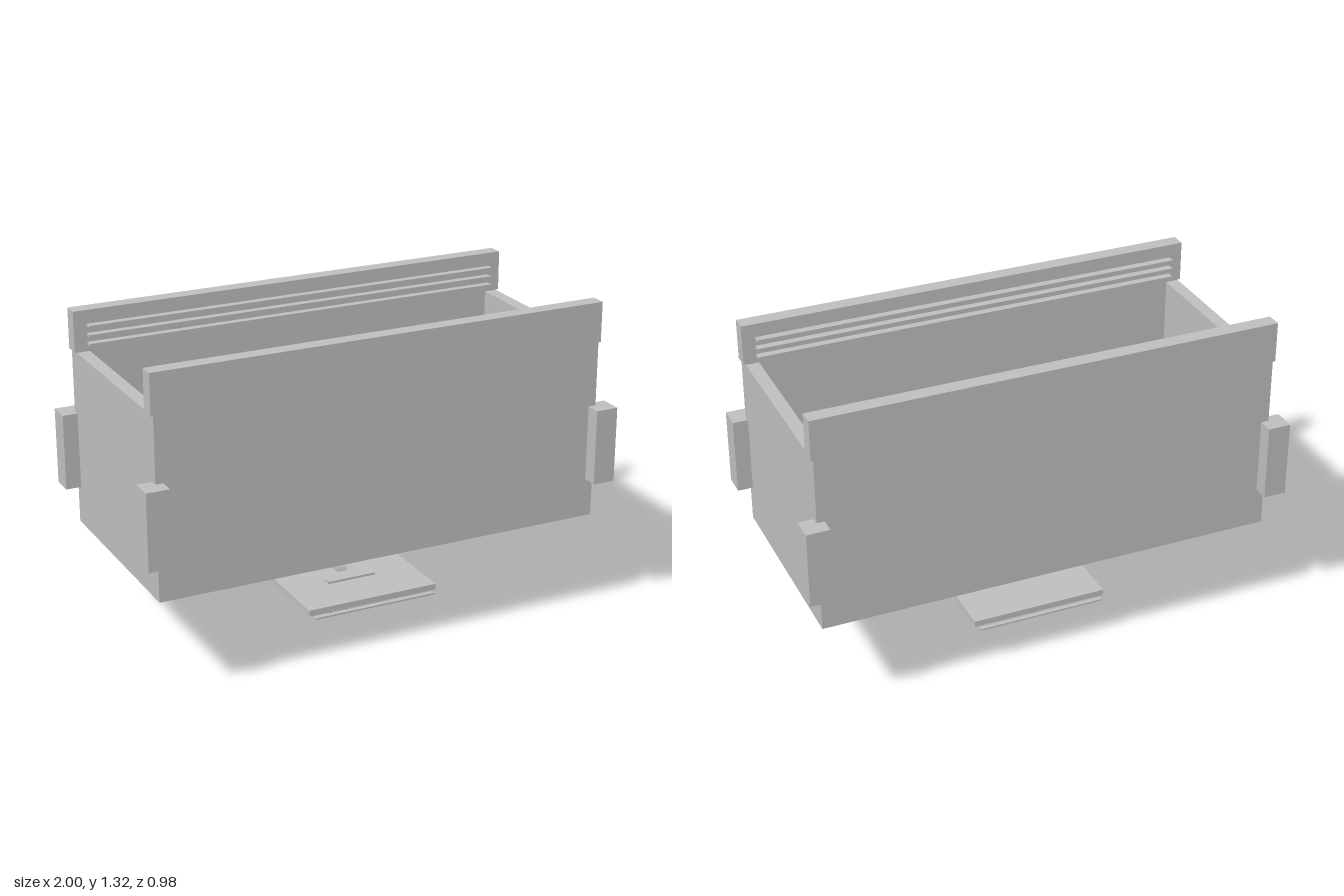
import * as THREE from 'three';

export function createModel() {
  const model = new THREE.Group();
  const grey = new THREE.MeshStandardMaterial({ color: 0xbfbfbf });
  grey.name = 'plain grey';

  const add = (name, geometry) => {
    const mesh = new THREE.Mesh(geometry, grey);
    mesh.name = name;
    model.add(mesh);
    return mesh;
  };
  // Box given by its limits on each axis
  const box = (name, x0, x1, y0, y1, z0, z1) =>
    add(name, new THREE.BoxGeometry(x1 - x0, y1 - y0, z1 - z0))
      .position.set((x0 + x1) / 2, (y0 + y1) / 2, (z0 + z1) / 2);
  // Box mirrored front to back
  const pairZ = (name, x0, x1, y0, y1, z0, z1) => {
    box(name + 'Front', x0, x1, y0, y1, z0, z1);
    box(name + 'Back', x0, x1, y0, y1, -z1, -z0);
  };
  // Box mirrored left to right
  const pairX = (name, x0, x1, y0, y1, z0, z1) => {
    box(name + 'Left', x0, x1, y0, y1, z0, z1);
    box(name + 'Right', -x1, -x0, y0, y1, z0, z1);
  };
  // Cylinder lying along x
  const axle = (name, radius, length, y) => {
    const geometry = new THREE.CylinderGeometry(radius, radius, length, 40).rotateZ(Math.PI / 2);
    add(name, geometry).position.y = y;
  };

  // Open-topped bin
  box('binFloor', -0.938, 0.938, 0.422, 0.475, -0.427, 0.427);
  pairZ('longWall', -0.938, 0.938, 0.475, 1.155, 0.368, 0.427);
  pairX('endWall', 0.885, 0.938, 0.475, 1.152, -0.368, 0.368);
  pairX('floorLedge', 0.87, 0.885, 0.475, 0.5, -0.368, 0.368);

  // Raised side boards with three ribs on the inner faces
  pairZ('sideBoard', -0.948, 0.948, 1.155, 1.32, 0.366, 0.428);
  for (const y of [1.18, 1.216, 1.253]) {
    pairZ('rib', -0.895, 0.895, y, y + 0.011, 0.335, 0.366);
  }

  // Corner bumpers
  for (const side of [-1, 1]) {
    const x = side * 0.953;
    pairZ('cornerBumper', x - 0.047, x + 0.047, 0.58, 0.892, 0.396, 0.49);
  }

  // Tray below the bin with its edge strips and top bar
  box('tray', -0.28, 0.28, 0.181, 0.206, -0.33, 0.33);
  pairZ('edgeStrip', -0.265, 0.265, 0.172, 0.179, 0.335, 0.352);
  box('topBar', -0.105, 0.105, 0.206, 0.215, 0.108, 0.143);
  box('hubPlate', -0.06, 0.06, 0.174, 0.181, -0.063, 0.063);

  // Wheel through the tray
  axle('wheel', 0.056, 0.044, 0.194);

  // Forked connector
  box('neck', -0.022, 0.022, 0.125, 0.15, -0.02, 0.02);
  box('forkBridge', -0.055, 0.055, 0.112, 0.13, -0.02, 0.02);
  pairX('prong', 0.032, 0.042, 0, 0.116, -0.026, 0.026);
  axle('crossPin', 0.008, 0.094, 0.043);

  return model;
}
